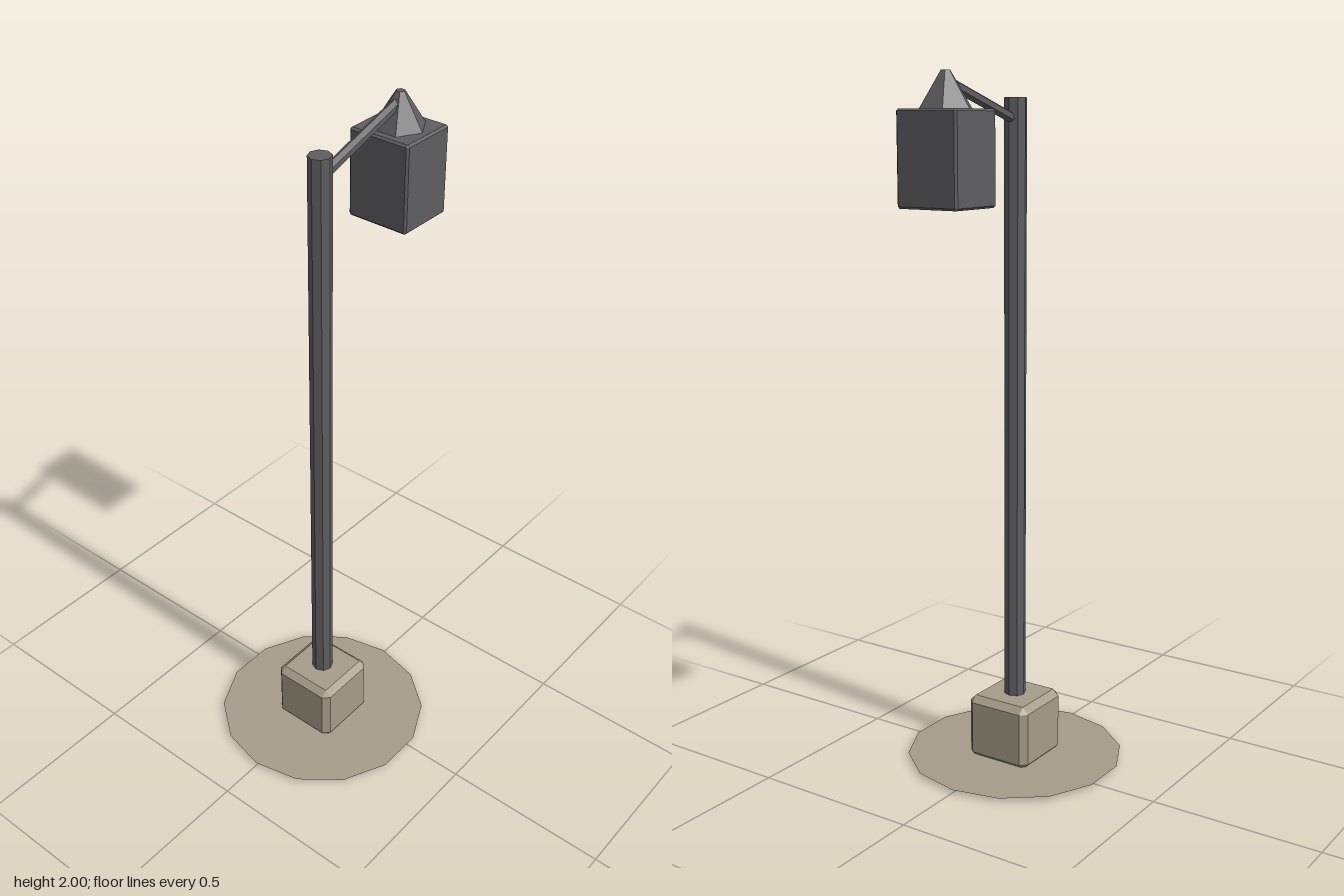
import * as THREE from 'three';
import { ConvexGeometry } from 'three/addons/geometries/ConvexGeometry.js';

const mat = (name, color) => new THREE.MeshStandardMaterial({ name, color, flatShading: true });

// Box with every edge and corner chamfered by b
function chamferBox(w, h, d, b) {
  const points = [];
  for (const sx of [-1, 1]) for (const sy of [-1, 1]) for (const sz of [-1, 1]) {
    for (let axis = 0; axis < 3; axis++) {
      const half = [w / 2 - b, h / 2 - b, d / 2 - b];
      half[axis] += b;
      points.push(new THREE.Vector3(sx * half[0], sy * half[1], sz * half[2]));
    }
  }
  return new ConvexGeometry(points);
}

export function createModel() {
  const group = new THREE.Group();
  group.name = 'streetLamp';
  const stone = mat('stone', 0xa69c8a);
  const ground = mat('groundStone', 0xa69c8a);
  ground.side = THREE.DoubleSide;
  const iron = mat('darkIron', 0x5e5e61);

  const add = (name, geometry, material, x, y, z = 0) => {
    const mesh = new THREE.Mesh(geometry, material);
    mesh.name = name;
    mesh.position.set(x, y, z);
    group.add(mesh);
    return mesh;
  };

  const poleX = -0.045, lampX = 0.276;

  // Flat 14-sided ground disc, with the block poking through it
  const disc = add('groundDisc', new THREE.CircleGeometry(0.322, 14), ground, poleX, 0.01);
  disc.rotation.x = -Math.PI / 2;
  add('baseBlock', chamferBox(0.205, 0.196, 0.205, 0.019), stone, poleX, 0.098);

  // Eight-sided pole
  add('pole', new THREE.CylinderGeometry(0.032, 0.032, 1.835, 8), iron, poleX, 1.0175);

  // Six-sided arm sloping up to the lamp
  const start = new THREE.Vector3(poleX, 1.874, 0);
  const end = new THREE.Vector3(lampX - 0.008, 1.971, 0);
  const dir = end.clone().sub(start);
  const armGeo = new THREE.CylinderGeometry(0.015, 0.015, dir.length(), 6);
  armGeo.rotateY(Math.PI / 2);
  const mid = start.clone().add(end).multiplyScalar(0.5);
  const arm = add('arm', armGeo, iron, mid.x, mid.y);
  arm.quaternion.setFromUnitVectors(new THREE.Vector3(0, 1, 0), dir.normalize());

  // Lamp housing and its six-sided cap
  add('lampHousing', chamferBox(0.178, 0.253, 0.192, 0.006), iron, lampX, 1.7775);
  add('lampCap', new THREE.CylinderGeometry(0.013, 0.077, 0.1, 6), iron, lampX, 1.95);

  return group;
}
